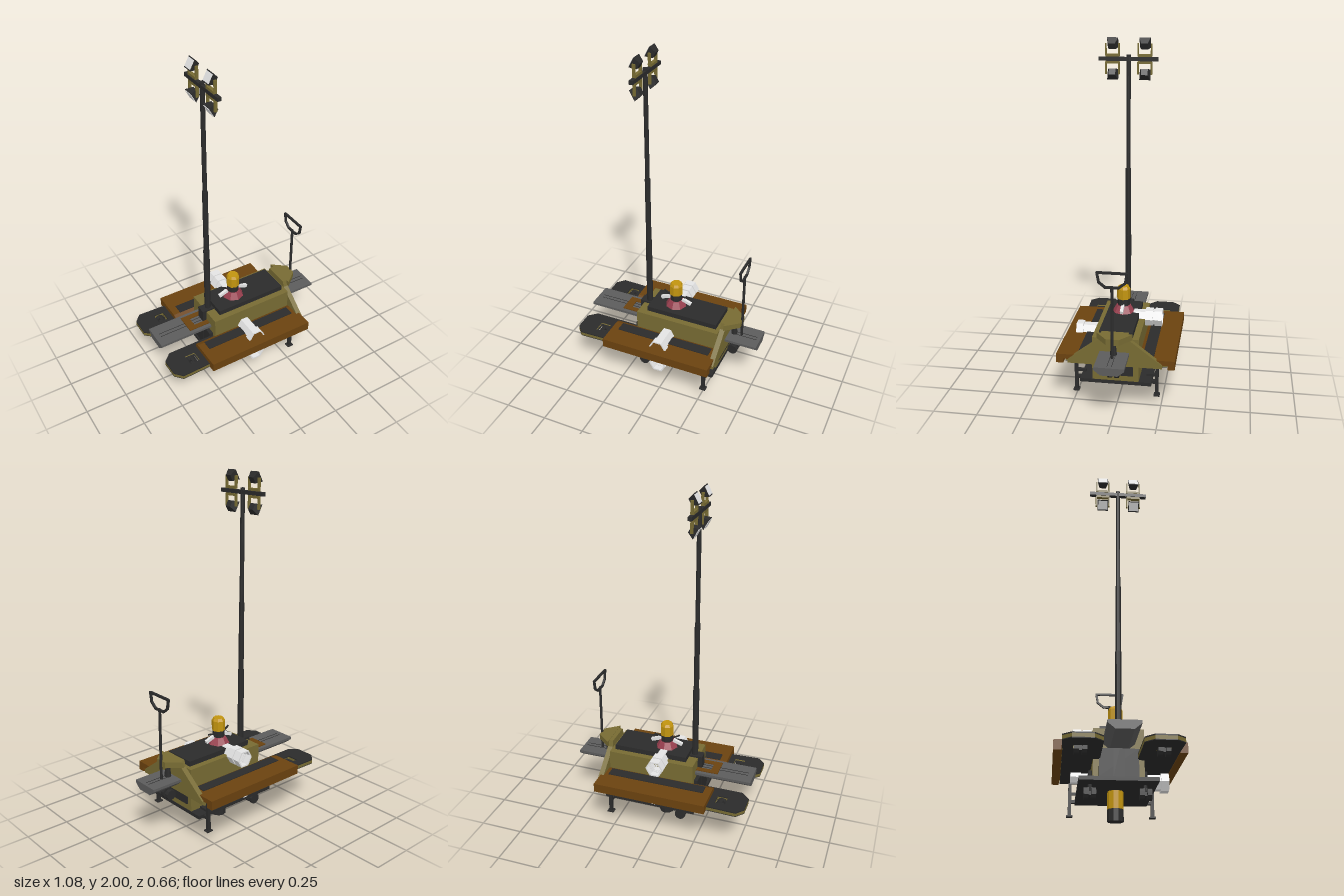
import * as THREE from 'three';

const mat = (name, color) => {
  const m = new THREE.MeshStandardMaterial({ color });
  m.name = name;
  return m;
};

export function createModel() {
  const root = new THREE.Group();
  const olive = mat('olive paint', 0x776b33);
  const brown = mat('brown paint', 0x6b420f);
  const dark = mat('dark metal', 0x2b2b2b);
  const gray = mat('gray metal', 0x5c5c5c);
  const yellow = mat('amber lens', 0xc2940f);
  const red = mat('red base', 0x99404f);
  const white = mat('white plastic', 0xe4e4e4);
  const whiteOpen = mat('white pipe', 0xe4e4e4);
  whiteOpen.side = THREE.DoubleSide;
  for (const m of [olive, brown, dark, gray, yellow, red, white, whiteOpen]) m.flatShading = true;

  const add = (name, geo, m, parent = root) => {
    const mesh = new THREE.Mesh(geo, m);
    mesh.name = name;
    parent.add(mesh);
    return mesh;
  };
  // Box from its limits
  const box = (name, m, x0, x1, y0, y1, z0, z1, parent) => {
    const g = new THREE.BoxGeometry(x1 - x0, y1 - y0, z1 - z0);
    g.translate((x0 + x1) / 2, (y0 + y1) / 2, (z0 + z1) / 2);
    return add(name, g, m, parent);
  };
  // Upright prism or frustum
  const post = (name, m, x, z, y0, y1, r0, r1 = r0, sides = 8) => {
    const g = new THREE.CylinderGeometry(r1, r0, y1 - y0, sides);
    g.translate(x, (y0 + y1) / 2, z);
    return add(name, g, m);
  };
  const poly = (pts) => new THREE.Shape(pts.map((p) => new THREE.Vector2(p[0], p[1])));
  // Profile of (z, y) points swept from x0 to x1
  const sweepX = (name, m, pts, x0, x1) => {
    const g = new THREE.ExtrudeGeometry(poly(pts.map(([z, y]) => [-z, y])), { depth: x1 - x0, bevelEnabled: false });
    g.rotateY(Math.PI / 2).translate(x0, 0, 0);
    return add(name, g, m);
  };
  // Outline of (x, z) points raised from y0 to y1
  const slab = (name, m, pts, y0, y1, hole) => {
    const s = poly(pts.map(([x, z]) => [x, -z]));
    if (hole) s.holes.push(new THREE.Path(hole.map(([x, z]) => new THREE.Vector2(x, -z))));
    const g = new THREE.ExtrudeGeometry(s, { depth: y1 - y0, bevelEnabled: false });
    g.rotateX(-Math.PI / 2).translate(0, y0, 0);
    return add(name, g, m);
  };
  // Straight bar between two points
  const beam = (name, m, a, b, t) => {
    const p = new THREE.Vector3(...a), q = new THREE.Vector3(...b);
    const mesh = add(name, new THREE.BoxGeometry(t, t, p.distanceTo(q) + t * 0.6), m);
    mesh.position.copy(p).add(q).multiplyScalar(0.5);
    mesh.lookAt(q);
    return mesh;
  };

  // Body and base
  box('body', olive, -0.2, 0.315, 0.175, 0.43, -0.13, 0.13);
  box('topPanel', dark, -0.147, 0.292, 0.43, 0.46, -0.094, 0.094);
  box('basePlate', dark, -0.23, 0.318, 0.155, 0.175, -0.2, 0.2);
  box('endPanel', dark, 0.315, 0.322, 0.21, 0.27, -0.1, 0.1);
  box('mastBracket', dark, -0.225, -0.15, 0.175, 0.44, -0.028, 0.028);
  box('endFrame', dark, -0.222, -0.2, 0.175, 0.32, -0.1, 0.1);

  // Gray trays at both ends
  const tray = [[-0.046, 0.32], [0.046, 0.32], [0.082, 0.35], [0.082, 0.365], [-0.082, 0.365], [-0.082, 0.35]];
  for (const [x0, x1] of [[-0.53, -0.2], [0.335, 0.535]]) {
    sweepX('endTray', gray, tray, x0, x1);
    for (const z of [-0.012, 0.012]) box('trayGroove', dark, x0 + 0.03, x1 - 0.02, 0.365, 0.367, z - 0.001, z + 0.001);
  }
  box('trayYoke', brown, -0.33, -0.285, 0.362, 0.37, -0.06, 0.06);
  for (const s of [-1, 1]) box('trayYokeArm', brown, -0.285, -0.2, 0.362, 0.37, s * 0.045 - 0.015, s * 0.045 + 0.015);

  for (const s of [-1, 1]) {
    // Side fender with outer lip and dark tread
    sweepX('fender', brown, [[0.125, 0.297], [0.125, 0.315], [0.15, 0.325], [0.33, 0.325], [0.33, 0.272], [0.29, 0.272], [0.29, 0.297]]
      .map(([z, y]) => [s * z, y]), -0.33, 0.335);
    const t = [0.15, 0.212].map((z) => z * s).sort((a, b) => a - b);
    box('fenderTread', dark, -0.287, 0.292, 0.325, 0.329, t[0], t[1]);

    // Long skid with a wheel opening
    const outline = [[0.3, 0.095], [0.3, 0.285], [-0.34, 0.285], [-0.5, 0.29], [-0.54, 0.245], [-0.54, 0.14], [-0.492, 0.095]]
      .map(([x, z]) => [x, s * z]);
    const hole = [[-0.425, 0.167], [-0.365, 0.167], [-0.365, 0.235], [-0.425, 0.235]].map(([x, z]) => [x, s * z]);
    slab('skidUnderside', dark, outline, 0.268, 0.272, hole);
    slab('skidEdge', olive, outline, 0.272, 0.29, hole);
    slab('skidTop', dark, outline, 0.29, 0.297, hole);

    // Wheel pairs
    const wheels = (x, y, z, r) => {
      for (const d of [-0.019, 0.019]) {
        const g = new THREE.CylinderGeometry(r, r, 0.024, 10).rotateX(Math.PI / 2);
        g.translate(x, y, z + d);
        add('wheel', g, dark);
      }
      box('wheelAxle', dark, x - 0.009, x + 0.009, y - 0.009, y + 0.03, z - 0.012, z + 0.012);
    };
    wheels(-0.395, 0.26, s * 0.2, 0.03);
    wheels(-0.138, 0.11, s * 0.14, 0.031);
    post('casterStem', dark, -0.138, s * 0.14, 0.12, 0.225, 0.011);
    if (s > 0) {
      wheels(0.375, 0.258, 0, 0.03);
      post('casterStem', dark, 0.375, 0, 0.26, 0.33, 0.011);
    }

    // Support legs
    box('supportLeg', dark, 0.264, 0.284, 0.085, 0.265, s * 0.228 - 0.009, s * 0.228 + 0.009);
    box('supportFoot', dark, 0.255, 0.293, 0.08, 0.087, s * 0.228 - 0.017, s * 0.228 + 0.017);
    const a = [0.17, 0.228].map((z) => z * s).sort((p, q) => p - q);
    box('supportArm', dark, 0.262, 0.286, 0.155, 0.172, a[0], a[1]);
    box('supportBrace', dark, 0.264, 0.284, 0.2, 0.213, a[0], a[1]);
  }

  // Sloping end shroud and nose
  sweepX('shroud', olive, [[-0.262, 0.28], [0.262, 0.28], [0.262, 0.3], [0.085, 0.435], [0.075, 0.472], [-0.075, 0.472], [-0.085, 0.435], [-0.262, 0.3]], 0.315, 0.345);
  slab('shroudNose', olive, [[0.34, -0.1], [0.42, -0.035], [0.42, 0.035], [0.34, 0.1]], 0.44, 0.474);
  post('nosePost', dark, 0.375, 0, 0.36, 0.44, 0.02, 0.012);

  // Tow handle
  post('handlePost', dark, 0.42, 0, 0.365, 0.78, 0.008);
  const loop = [[0, 0.772], [0.035, 0.772], [0.07, 0.8], [0.079, 0.853], [0, 0.853]];
  for (const s of [-1, 1]) {
    for (let i = 0; i < loop.length - 1; i++) {
      beam('handleLoop', dark, [0.42, loop[i][1], s * loop[i][0]], [0.42, loop[i + 1][1], s * loop[i + 1][0]], 0.012);
    }
  }

  // Telescopic mast and crossbar
  const mx = -0.175;
  post('mastLower', dark, mx, 0, 0.17, 0.87, 0.018, 0.018, 12);
  post('mastMiddle', dark, mx, 0, 0.87, 1.27, 0.0155, 0.0155, 12);
  post('mastUpper', dark, mx, 0, 1.27, 1.91, 0.0125, 0.0125, 12);
  box('crossbar', dark, mx - 0.011, mx + 0.011, 1.876, 1.897, -0.165, 0.165);

  // Four floodlights mirrored about the crossbar
  for (const z of [-0.09, 0.09]) {
    for (const up of [1, -1]) {
      const lamp = new THREE.Group();
      lamp.name = 'floodlight';
      lamp.position.set(mx, 1.887 + up * 0.078, z);
      root.add(lamp);
      const y = [-up * 0.066, -up * 0.052].sort((a, b) => a - b);
      box('lampBracket', olive, -0.01, 0.01, y[0], y[1], -0.038, 0.038, lamp);
      const arm = [-up * 0.062, up * 0.006].sort((a, b) => a - b);
      for (const d of [-1, 1]) box('lampArm', olive, -0.008, 0.008, arm[0], arm[1], d * 0.037 - 0.004, d * 0.037 + 0.004, lamp);
      const head = new THREE.Group();
      head.name = 'lampHead';
      head.rotation.z = up > 0 ? -0.5 : 0.5;
      lamp.add(head);
      const g = new THREE.CylinderGeometry(0.026, 0.044, 0.04, 4, 1).rotateY(Math.PI / 4).rotateZ(-Math.PI / 2);
      add('lampHousing', g, dark, head);
      box('lampGlass', white, -0.023, -0.02, -0.025, 0.025, -0.027, 0.027, head);
    }
  }

  // Beacon on top
  post('beaconBase', red, 0, 0, 0.46, 0.5, 0.064, 0.042, 8);
  post('beaconCollar', dark, 0, 0, 0.5, 0.54, 0.036, 0.036, 8);
  post('beaconLens', yellow, 0, 0, 0.54, 0.6, 0.039, 0.039, 8);
  post('beaconCap', yellow, 0, 0, 0.6, 0.616, 0.039, 0.03, 8);
  for (const s of [-1, 1]) {
    beam('beaconFin', white, [s * 0.045, 0.505, 0], [s * 0.09, 0.488, 0], 0.018);
    beam('beaconHook', dark, [s * 0.04, 0.522, 0], [s * 0.075, 0.535 - s * 0.008, 0], 0.008);
  }

  // Lower light
  post('lowerLens', yellow, 0, 0, 0.062, 0.156, 0.042, 0.042, 10);
  post('lowerCap', dark, 0, 0, 0, 0.062, 0.043, 0.043, 10);

  // Open hexagonal side pipes with collars
  const pipe = (name, y, z0, z1, r) => {
    const g = new THREE.CylinderGeometry(r, r, Math.abs(z1 - z0), 6, 1, true).rotateY(Math.PI / 6).rotateX(Math.PI / 2);
    g.translate(0, y, (z0 + z1) / 2);
    add(name, g, whiteOpen);
  };
  const collar = (y, z0, z1, r) => {
    pipe('pipeCollar', y, z0, z1, r);
    for (const z of [z0, z1]) {
      const g = new THREE.RingGeometry(r * 0.82, r, 6, 1);
      g.translate(0, y, z);
      add('pipeRim', g, whiteOpen);
    }
  };
  for (const y of [0.325, 0.205]) {
    pipe('frontPipe', y, 0.13, 0.24, 0.044);
    collar(y, 0.235, 0.277, 0.053);
  }
  pipe('rearPipe', 0.432, -0.06, -0.14, 0.04);
  collar(0.432, -0.13, -0.175, 0.053);
  pipe('rearPipe', 0.432, -0.17, -0.19, 0.046);
  collar(0.432, -0.185, -0.228, 0.053);
  pipe('lowerRearPipe', 0.222, -0.13, -0.19, 0.026);
  collar(0.222, -0.18, -0.235, 0.03);

  return root;
}
